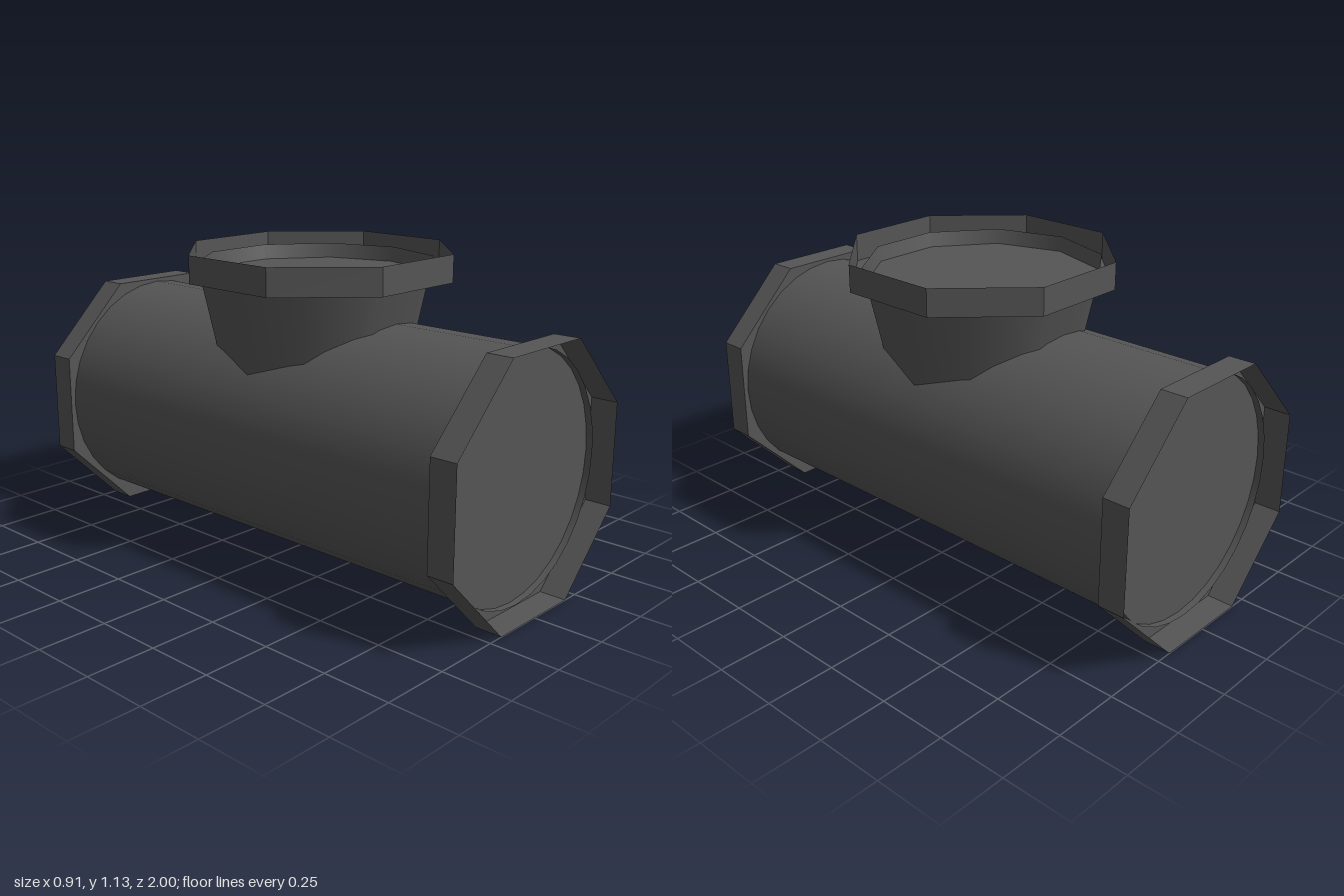
import * as THREE from 'three';

const metal = new THREE.MeshStandardMaterial({ color: 0x555555, side: THREE.DoubleSide });
metal.name = 'dark grey metal';

// Faceted copy of a geometry, for the hard-edged flanges
function faceted(geometry) {
  const g = geometry.toNonIndexed();
  g.computeVertexNormals();
  return g;
}

// Octagonal cup, open at +y, with its floor at y = 0
function makeFlange(name, depth) {
  const radius = 0.495;
  const flange = new THREE.Group();
  flange.name = name;

  const wall = faceted(new THREE.CylinderGeometry(radius, radius, depth, 8, 1, true, Math.PI / 8));
  const rim = new THREE.Mesh(wall, metal);
  rim.name = 'flangeRim';
  rim.position.y = depth / 2;

  const floor = new THREE.Mesh(new THREE.CircleGeometry(radius, 8, Math.PI / 8), metal);
  floor.name = 'flangeFloor';
  floor.rotation.x = -Math.PI / 2;

  flange.add(rim, floor);
  return flange;
}

export function createModel() {
  const model = new THREE.Group();
  model.name = 'pipeJunction';

  // Main pipe along z, ending just inside the flanges
  const pipe = new THREE.Mesh(new THREE.CylinderGeometry(0.44, 0.44, 1.85, 32, 1, true), metal);
  pipe.name = 'mainPipe';
  pipe.rotation.x = Math.PI / 2;
  pipe.position.y = 0.464;
  model.add(pipe);

  // End flanges, opening outwards
  for (const side of [1, -1]) {
    const flange = makeFlange(side > 0 ? 'frontFlange' : 'backFlange', 0.1);
    flange.rotation.x = side * Math.PI / 2;
    flange.position.set(0, 0.459, side * 0.9);
    model.add(flange);
  }

  // Tapered ten-sided branch rising from the pipe into the top flange
  const bottom = 0.5, top = 1.09;
  const branch = new THREE.Mesh(
    new THREE.CylinderGeometry(0.436, 0.308, top - bottom, 10, 1, true, Math.PI / 2), metal);
  branch.name = 'branchPipe';
  branch.position.set(0.003, (top + bottom) / 2, 0.013);
  model.add(branch);

  const topFlange = makeFlange('topFlange', 0.1);
  topFlange.position.set(0, 1.035, 0.028);
  model.add(topFlange);

  return model;
}
